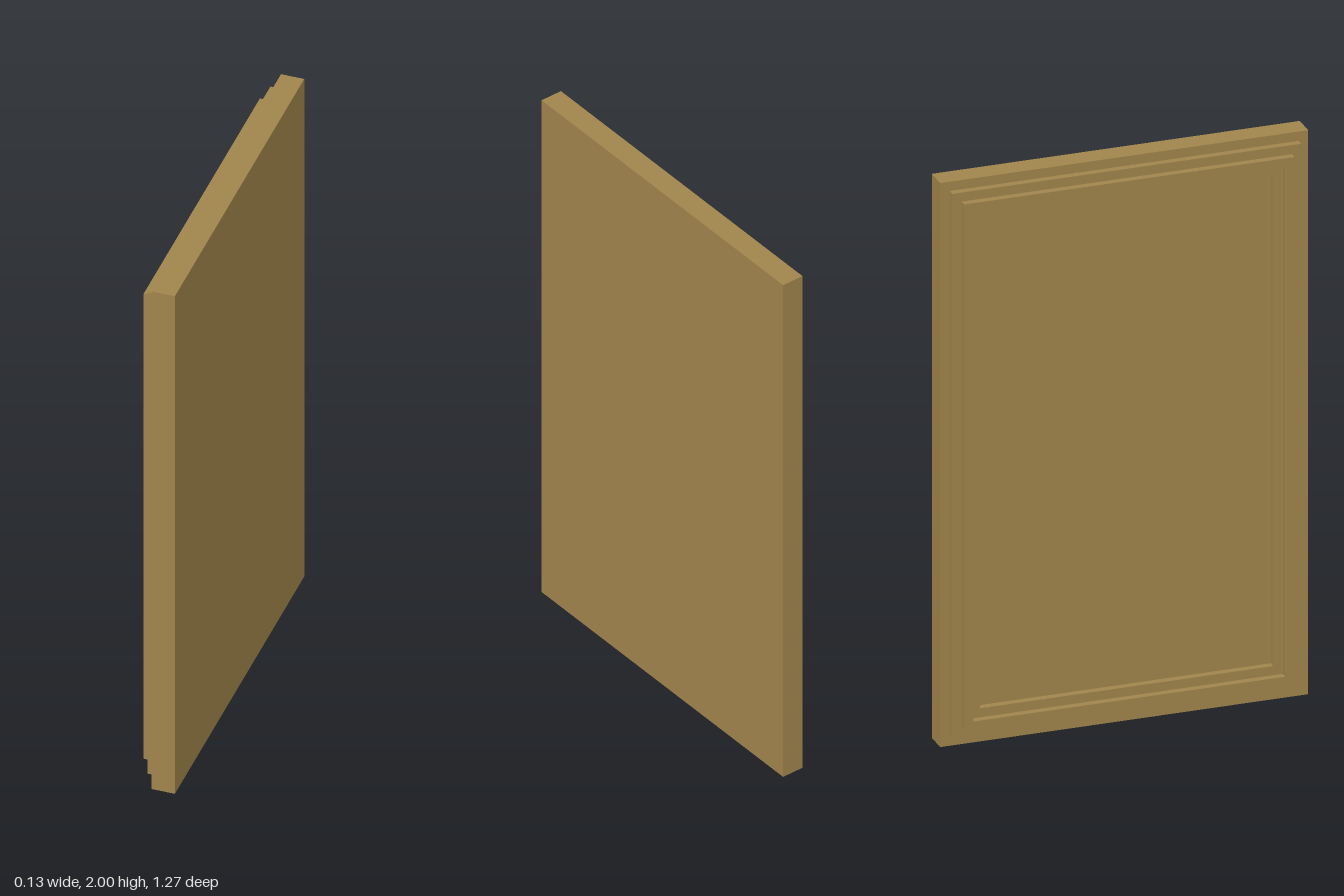
import * as THREE from 'three';

export function createModel() {
  const group = new THREE.Group();
  group.name = 'framedPanel';
  const wood = new THREE.MeshStandardMaterial({ color: 0xa0844c });
  wood.name = 'wood';

  const H = 2, HALF_W = 0.635, FACE_X = -0.015, STEP = 0.025;

  // Rectangle inset evenly from the panel outline
  const trace = (path, inset) => {
    const w = HALF_W - inset, y0 = inset, y1 = H - inset;
    path.moveTo(-w, y0);
    path.lineTo(w, y0);
    path.lineTo(w, y1);
    path.lineTo(-w, y1);
    path.closePath();
    return path;
  };

  // Backing slab
  const slab = new THREE.Mesh(new THREE.BoxGeometry(0.08, H, HALF_W * 2), wood);
  slab.name = 'backingPanel';
  slab.position.set(FACE_X + 0.04, H / 2, 0);
  group.add(slab);

  // Two stacked moulding frames, the upper one narrower
  const frames = [
    ['lowerMoulding', 0.033, 0.129],
    ['upperMoulding', 0.065, 0.097],
  ];
  frames.forEach(([name, outer, inner], i) => {
    const shape = trace(new THREE.Shape(), outer);
    shape.holes.push(trace(new THREE.Path(), inner));
    const geo = new THREE.ExtrudeGeometry(shape, { depth: STEP, bevelEnabled: false });
    geo.rotateY(-Math.PI / 2); // extrude towards -x
    const frame = new THREE.Mesh(geo, wood);
    frame.name = name;
    frame.position.x = FACE_X - i * STEP;
    group.add(frame);
  });

  return group;
}
